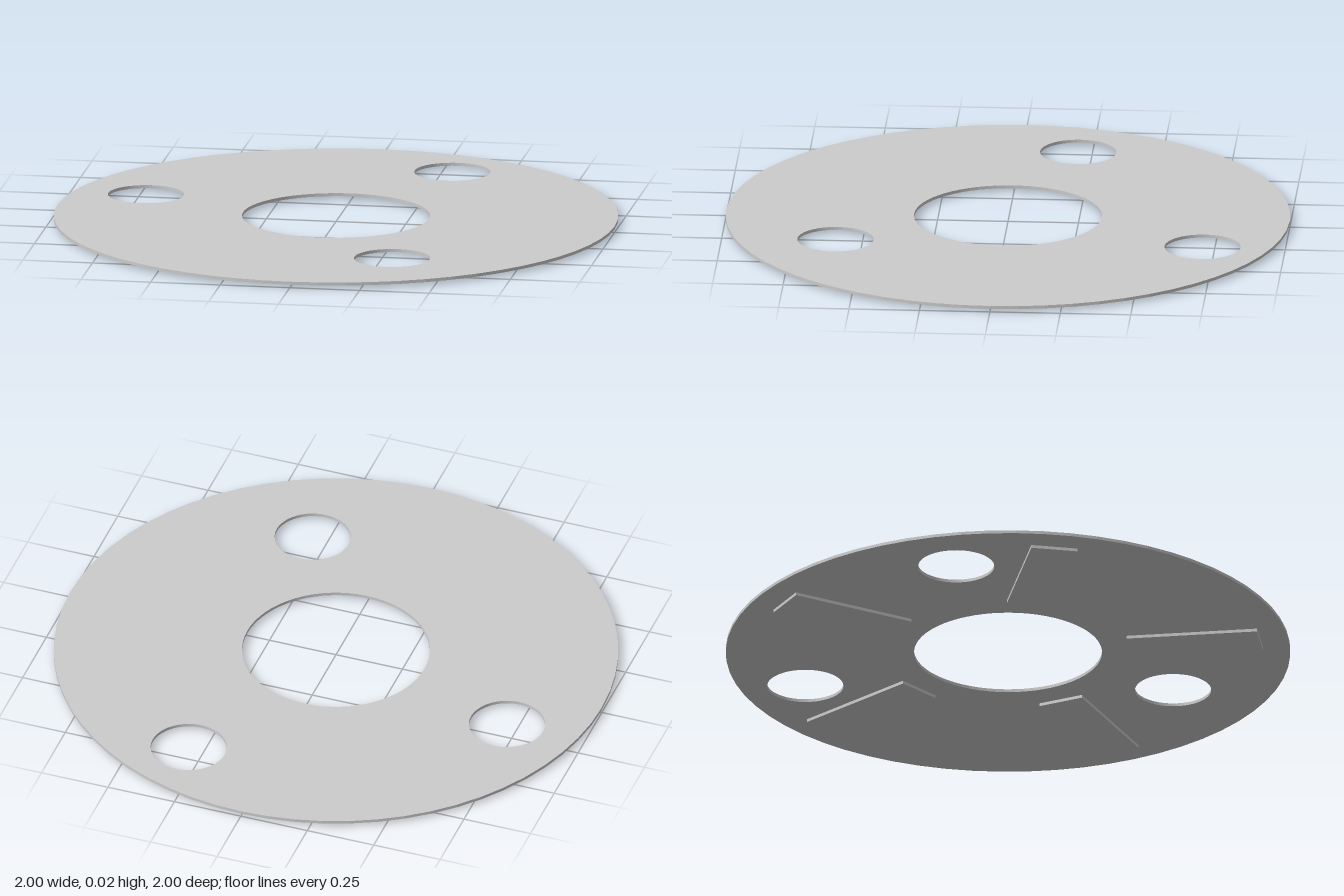
import * as THREE from 'three';

const PAD_HEIGHT = 0.011;
const DISC_HEIGHT = 0.011;

export function createModel() {
  const group = new THREE.Group();
  group.name = 'disc';
  const material = new THREE.MeshStandardMaterial({ color: 0xcccccc });

  // Flat ring: a central bore and three round through holes, as [x, z, radius]
  const outline = new THREE.Shape().absarc(0, 0, 1, 0, Math.PI * 2);
  const holes = [
    [0, 0, 0.333],
    [0.3, -0.71, 0.135],
    [-0.716, -0.203, 0.135],
    [0.3, 0.593, 0.135],
  ];
  for (const [x, z, r] of holes) {
    outline.holes.push(new THREE.Path().absarc(x, -z, r, 0, Math.PI * 2, true));
  }
  const plateGeometry = new THREE.ExtrudeGeometry(outline, {
    depth: DISC_HEIGHT, bevelEnabled: false, curveSegments: 32,
  });
  plateGeometry.rotateX(-Math.PI / 2);
  const plate = new THREE.Mesh(plateGeometry, material);
  plate.name = 'plate';
  plate.position.y = PAD_HEIGHT;
  group.add(plate);

  // Five radial pads on the underside
  const padGeometry = new THREE.BoxGeometry(0.467, PAD_HEIGHT, 0.167);
  padGeometry.translate(0.667, PAD_HEIGHT / 2, 0);
  for (let i = 0; i < 5; i++) {
    const pad = new THREE.Mesh(padGeometry, material);
    pad.name = `pad${i + 1}`;
    pad.rotation.y = Math.PI / 4 - (i * Math.PI * 2) / 5;
    group.add(pad);
  }

  return group;
}
